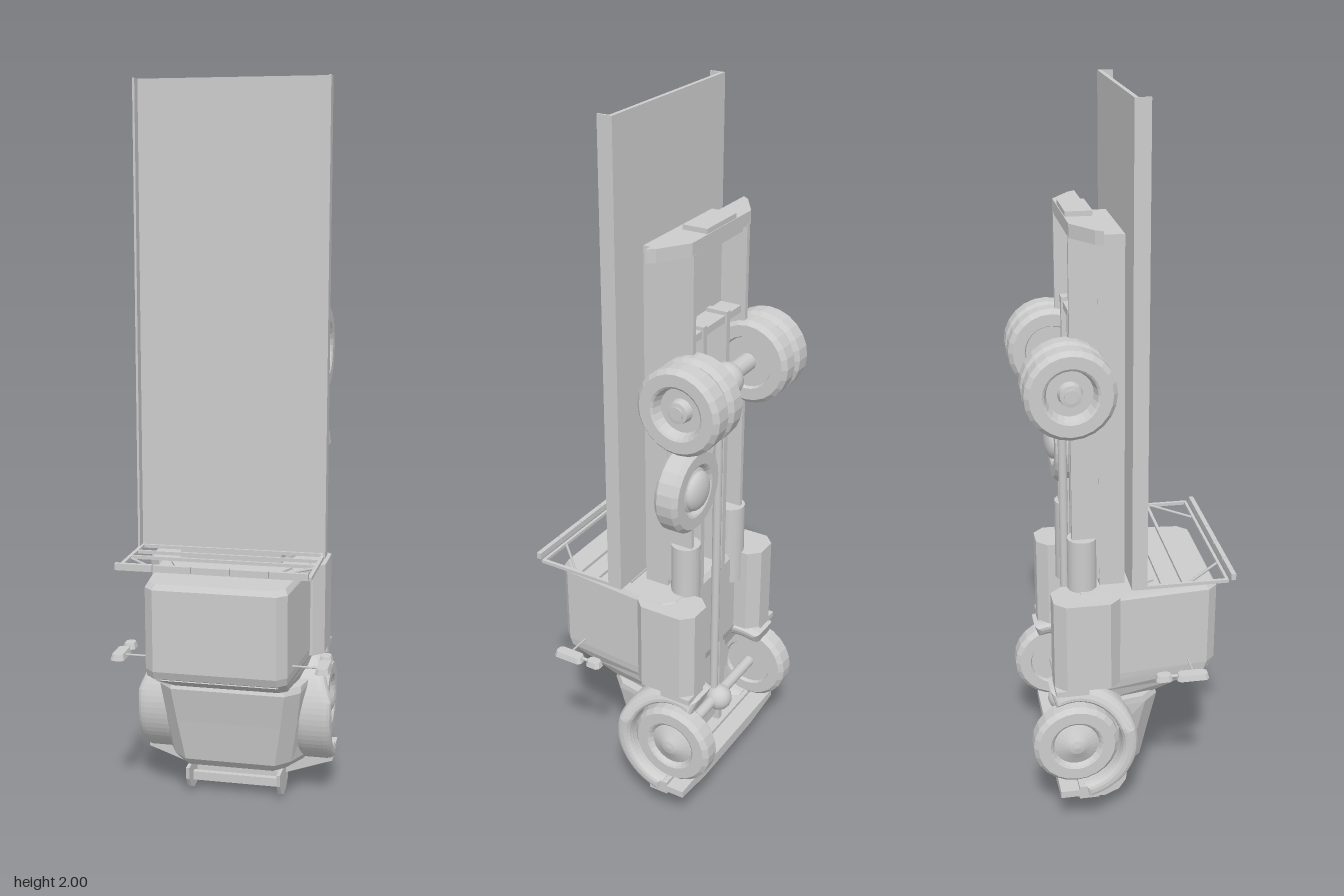
import * as THREE from 'three';

const grey = new THREE.MeshStandardMaterial({ color: 0xcccccc });
grey.name = 'primer grey';

export function createModel() {
  const model = new THREE.Group();
  const add = (name, geo, parent = model) => {
    const m = new THREE.Mesh(geo, grey);
    m.name = name;
    parent.add(m);
    return m;
  };
  // box given by its extents on each axis
  const box = (name, x0, x1, y0, y1, z0, z1) => {
    const m = add(name, new THREE.BoxGeometry(x1 - x0, y1 - y0, z1 - z0));
    m.position.set((x0 + x1) / 2, (y0 + y1) / 2, (z0 + z1) / 2);
    return m;
  };
  // round rod between two points
  const rod = (name, a, b, r, seg = 8) => {
    const A = new THREE.Vector3(...a), B = new THREE.Vector3(...b);
    const m = add(name, new THREE.CylinderGeometry(r, r, A.distanceTo(B), seg));
    m.position.copy(A).lerp(B, 0.5);
    m.quaternion.setFromUnitVectors(new THREE.Vector3(0, 1, 0), B.sub(A).normalize());
    return m;
  };
  const shape = pts => new THREE.Shape(pts.map(p => new THREE.Vector2(...p)));
  const extrude = (s, depth) => new THREE.ExtrudeGeometry(s, { depth, bevelEnabled: false });
  // loft along y through chamfered trapezoids [y, top half width, bottom half width, zTop, zBottom, chamfer]
  const loft = (name, sections) => {
    const pos = [], idx = [], n = 8;
    for (const [y, wt, wb, zt, zb, c] of sections) {
      for (const [x, z] of [[c - wt, zt], [wt - c, zt], [wt, zt - c], [wb, zb + c],
        [wb - c, zb], [c - wb, zb], [-wb, zb + c], [-wt, zt - c]]) pos.push(x, y, z);
    }
    for (let i = 0; i < sections.length - 1; i++) for (let j = 0; j < n; j++) {
      const a = i * n + j, b = i * n + (j + 1) % n;
      idx.push(a, b, b + n, a, b + n, a + n);
    }
    const t = (sections.length - 1) * n;
    for (let j = 1; j < n - 1; j++) idx.push(0, j + 1, j, t, t + j, t + j + 1);
    const g = new THREE.BufferGeometry();
    g.setAttribute('position', new THREE.Float32BufferAttribute(pos, 3));
    g.setIndex(idx);
    const flat = g.toNonIndexed();
    flat.computeVertexNormals();
    return add(name, flat);
  };
  const wheel = (name, x, y, z, w, side, domed = true) => {
    const h = w / 2, r = 0.118;
    const hub = domed
      ? [[0.068, h - 0.004], [0.062, h - 0.014], [0.04, h - 0.004], [0.02, h + 0.006], [0, h + 0.01]]
      : [[0.068, h - 0.004], [0.06, h - 0.03], [0.032, h - 0.03], [0.028, h - 0.008], [0, h - 0.004]];
    const profile = [[0, -h + 0.01], [0.07, -h + 0.01], [0.074, -h], [r - 0.012, -h], [r, -h + 0.013],
      [r, h - 0.013], [r - 0.012, h], [0.074, h], ...hub];
    const g = new THREE.LatheGeometry(profile.map(p => new THREE.Vector2(...p)), 24).toNonIndexed();
    g.computeVertexNormals();
    const m = add(name, g);
    m.position.set(x, y, z);
    m.rotation.z = -side * Math.PI / 2;
    return m;
  };

  // flatbed with raised side rims
  box('bedFloor', -0.262, 0.262, 0.735, 2, -0.006, 0.005);
  for (const s of [-1, 1]) box('bedRim', s * 0.259 - 0.003, s * 0.259 + 0.003, 0.735, 2, 0, 0.035);

  // cab guard rack
  for (const z of [0.012, 0.078, 0.135, 0.253]) box('rackBar', -0.258, 0.258, 0.733, 0.742, z - 0.004, z + 0.004);
  for (const s of [-1, 1]) {
    box('rackSide', s * 0.254 - 0.005, s * 0.254 + 0.005, 0.733, 0.742, 0, 0.257);
    rod('rackBrace', [s * 0.253, 0.737, 0.145], [s * 0.15, 0.737, 0.25], 0.004, 6);
  }
  for (let i = 0; i < 5; i++) {
    const x = -0.207 + i * 0.1025;
    box('rackLamp', x - 0.05, x + 0.05, 0.738, 0.756, 0.264, 0.277);
  }

  // cab with steep windscreen, and hood
  loft('cab', [
    [0.36, 0.168, 0.2, 0.075, -0.12, 0.012],
    [0.4, 0.18, 0.212, 0.165, -0.13, 0.018],
    [0.433, 0.19, 0.218, 0.236, -0.14, 0.024],
    [0.455, 0.192, 0.22, 0.245, -0.14, 0.026],
    [0.68, 0.192, 0.22, 0.247, -0.14, 0.026],
    [0.695, 0.184, 0.212, 0.238, -0.13, 0.026],
  ]);
  loft('hood', [
    [0.105, 0.15, 0.19, 0.02, -0.12, 0.03],
    [0.13, 0.168, 0.205, 0.043, -0.12, 0.04],
    [0.25, 0.187, 0.215, 0.064, -0.1, 0.04],
    [0.35, 0.2, 0.218, 0.084, -0.1, 0.04],
    [0.368, 0.2, 0.218, 0.076, -0.1, 0.04],
  ]);
  loft('windscreen', [
    [0.361, 0.15, 0.15, 0.084, 0.07, 0.003],
    [0.427, 0.168, 0.168, 0.231, 0.217, 0.003],
  ]);
  const back = shape([[-0.17, 0.02], [0.17, 0.02], [0.145, 0.075], [-0.145, 0.075]]);
  const panel = add('cabBackPanel', extrude(back, 0.006));
  panel.rotation.x = Math.PI / 2;
  panel.position.y = 0.701;

  // grille slats on the nose
  for (let i = 0; i < 4; i++) box('grilleSlat', -0.11, 0.11, 0.1, 0.108, -0.09 + i * 0.028, -0.078 + i * 0.028);

  for (const s of [-1, 1]) {
    // rounded fender arch round the front wheel, drawn in towards the cab
    const arch = new THREE.Shape();
    arch.absarc(0, 0, 0.152, -0.42 * Math.PI, 0.6 * Math.PI, false);
    arch.absarc(0, 0, 0.14, 0.6 * Math.PI, -0.42 * Math.PI, true);
    const fg = new THREE.ExtrudeGeometry(arch, { depth: 0.06, bevelThickness: 0.022, bevelSize: 0.016, bevelSegments: 3, curveSegments: 16 });
    // shape x becomes z, extrusion runs along -x
    fg.rotateY(-Math.PI / 2);
    fg.translate(s * 0.226 + 0.03, 0.265, -0.155);
    const p = fg.attributes.position;
    for (let i = 0; i < p.count; i++) {
      const pull = Math.max(0, p.getY(i) - 0.31) * 0.4;
      p.setX(i, p.getX(i) - s * pull);
    }
    fg.computeVertexNormals();
    add('fender', fg);
    box('fenderSkirt', s * 0.21 - 0.04, s * 0.21 + 0.04, 0.42, 0.436, -0.21, -0.12);

    // step tank beneath each door
    const tank = loft('stepTank', [
      [0.435, 0.06, 0.06, -0.03, -0.21, 0.03],
      [0.692, 0.06, 0.06, -0.03, -0.21, 0.03],
    ]);
    tank.position.x = s * 0.19;

    // mirrors and arms
    for (const [z0, z1, x0, x1] of [[0.058, 0.103, 0.257, 0.292], [0.115, 0.203, 0.26, 0.298]])
      loft('mirror', [
        [0.462, (x1 - x0) / 2, (x1 - x0) / 2, z1, z0, 0.008],
        [0.478, (x1 - x0) / 2 - 0.004, (x1 - x0) / 2 - 0.004, z1 - 0.004, z0 + 0.004, 0.008],
      ]).position.x = s * (x0 + x1) / 2;
    rod('mirrorStay', [s * 0.275, 0.47, 0.09], [s * 0.275, 0.47, 0.125], 0.005);
    rod('mirrorArm', [s * 0.19, 0.47, 0.165], [s * 0.27, 0.47, 0.165], 0.003, 6);

    // wheels
    wheel('frontWheel', s * 0.228, 0.265, -0.157, 0.066, s);
    wheel('rearOuterWheel', -0.0125 + s * 0.218, 1.285, -0.16, 0.068, s, false);
    wheel('rearInnerWheel', -0.0125 + s * 0.145, 1.285, -0.16, 0.065, s, false);
    rod('hubCap', [-0.0125 + s * 0.2, 1.285, -0.16], [-0.0125 + s * 0.25, 1.285, -0.16], 0.018, 12);

    // chassis rails and air tanks
    box('outerRail', -0.0075 + s * 0.135 - 0.007, -0.0075 + s * 0.135 + 0.007, 0.72, 1.66, -0.148, -0.07);
    box('innerRail', s * 0.06 - 0.009, s * 0.06 + 0.009, 0.12, 1.45, -0.14, -0.08);
    rod('airTank', [-0.01 + s * 0.125, 0.6, -0.12], [-0.01 + s * 0.125, 0.84, -0.12], 0.04, 16);

    // bumper guard plate
    const plate = shape([[-0.005, 0.085], [-0.01, 0.05], [-0.03, 0.02], [-0.07, 0.002],
      [-0.11, 0.004], [-0.145, 0.025], [-0.155, 0.085]].map(([z, y]) => [z + 0.012, y]));
    const g = add('guardPlate', extrude(plate, 0.01));
    g.rotation.y = -Math.PI / 2;
    g.position.x = s * 0.132 + 0.005;
  }

  // front bumper, apron and guard bars
  const bumper = add('frontBumper', extrude(shape([[-0.272, 0.138], [-0.272, 0.1], [-0.13, 0.05],
    [0.13, 0.05], [0.272, 0.1], [0.272, 0.138]]), 0.055));
  bumper.position.z = -0.153;
  const apron = add('bumperApron', extrude(shape([[-0.272, 0.128], [-0.272, 0.108], [-0.14, 0.092],
    [0.14, 0.092], [0.272, 0.108], [0.272, 0.128]]), 0.055));
  apron.position.z = -0.205;
  for (const z of [-0.05, -0.1]) box('guardBar', -0.13, 0.13, 0.03, 0.055, z - 0.008, z + 0.008);

  // bed subframe and cross members
  box('subframe', -0.15, 0.135, 0.7, 1.66, -0.075, -0.006);
  for (const y of [1.18, 1.42, 1.64]) box('crossMember', -0.14, 0.125, y, y + 0.02, -0.135, -0.07);
  box('engineBelly', -0.1, 0.1, 0.16, 0.66, -0.13, -0.06);

  // axles, differentials and drive shaft
  rod('frontAxle', [-0.23, 0.265, -0.157], [0.23, 0.265, -0.157], 0.016, 12);
  rod('rearAxle', [-0.23, 1.285, -0.16], [0.21, 1.285, -0.16], 0.025, 12);
  rod('driveShaft', [0, 0.3, -0.15], [0, 1.25, -0.15], 0.012, 10);
  for (const [y, r] of [[0.265, 0.038], [1.285, 0.048]]) {
    const d = add('differential', new THREE.SphereGeometry(r, 16, 12));
    d.position.set(-0.003, y, -0.166);
  }

  // spare wheel slung below the bed
  const spare = wheel('spareWheel', 0.13, 1.02, -0.13, 0.07, 1);
  spare.rotation.set(-Math.PI / 2, 0, 0);
  const cap = add('spareCap', new THREE.SphereGeometry(0.055, 20, 8, 0, Math.PI * 2, 0, Math.PI / 2));
  cap.scale.y = 0.45;
  cap.rotation.x = -Math.PI / 2;
  cap.position.set(0.13, 1.02, -0.16);

  // rear bumper
  const rear = add('rearBumper', extrude(shape([[-0.25, -0.075], [-0.235, -0.095], [-0.155, -0.147],
    [0.14, -0.147], [0.22, -0.095], [0.235, -0.075]]), 0.035));
  rear.rotation.x = Math.PI / 2;
  rear.position.y = 1.692;
  box('hitchBlock', -0.08, 0.065, 1.66, 1.705, -0.145, -0.075);

  return model;
}
